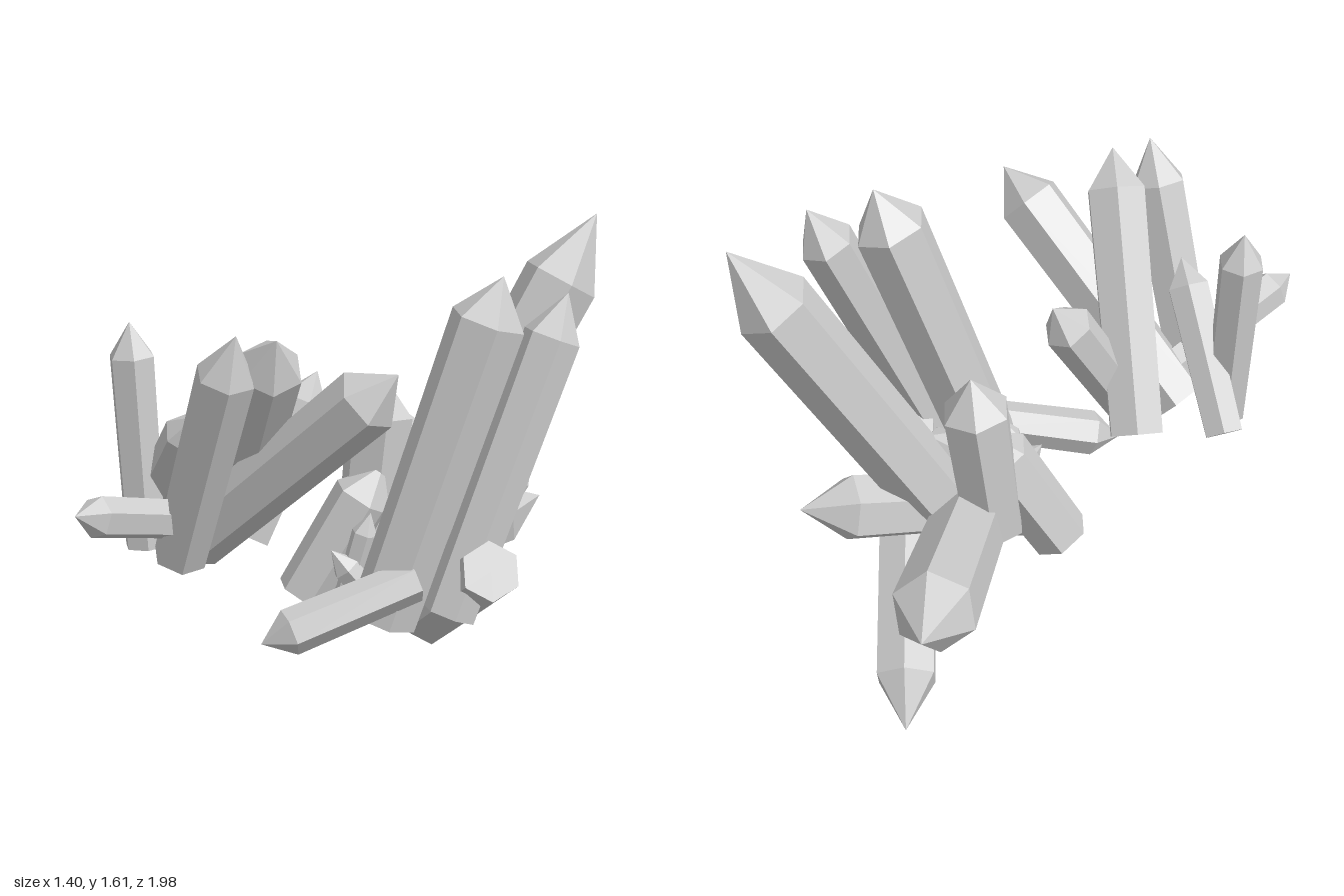
import * as THREE from 'three';

const UP = new THREE.Vector3(0, 1, 0);
const material = new THREE.MeshStandardMaterial({ color: 0xcccccc, flatShading: true });

// Six-sided shaft, slightly narrower at its flat base, ending in a pyramid point
function crystal(name, base, tip, radius, point = 1.6 * radius) {
  const from = new THREE.Vector3(...base);
  const axis = new THREE.Vector3(...tip).sub(from);
  const length = axis.length();
  const profile = [[0, 0], [radius * 0.92, 0], [radius, length - point], [0, length]]
    .map(([r, y]) => new THREE.Vector2(r, y));
  const mesh = new THREE.Mesh(new THREE.LatheGeometry(profile, 6), material);
  mesh.name = name;
  mesh.position.copy(from);
  mesh.quaternion.setFromUnitVectors(UP, axis.normalize());
  return mesh;
}

// Each entry: name, base centre, tip, radius, optional point length
const FRONT = [
  ['uprightCrystal', [-0.17, 0.68, 0.56], [-0.22, 1.415, 0.57], 0.076, 0.11],
  ['tallFrontCrystal', [0.01, 0.69, 0.56], [0.33, 1.49, 0.575], 0.095, 0.15],
  ['crossingCrystal', [-0.15, 0.71, 0.22], [0.38, 1.465, 0.46], 0.106, 0.14],
  ['backLeaningCrystal', [0.02, 0.7, 0.3], [0.02, 1.2, 0.0], 0.085, 0.11],
  ['rightLeaningCrystal', [-0.31, 0.72, 0.46], [0.08, 1.17, 0.54], 0.075, 0.1],
  ['wideLeaningCrystal', [-0.06, 0.7, 0.45], [0.615, 1.36, 0.18], 0.11, 0.14],
  ['forwardCrystal', [0.0, 0.77, 0.38], [0.07, 0.945, 0.995], 0.068, 0.09],
];

const BACK = [
  ['tallestCrystal', [0.05, 0.43, -0.34], [0.29, 1.62, -0.99], 0.13, 0.25],
  ['tallCrystal', [0.28, 0.4, -0.06], [0.47, 1.54, -0.39], 0.124, 0.15],
  ['sideCrystal', [0.49, 0.455, -0.16], [0.57, 1.475, -0.58], 0.095, 0.15],
  ['shortBackCrystal', [0.33, 0.45, -0.25], [0.435, 0.92, -0.57], 0.06, 0.11],
  ['broadCrystal', [0.0, 0.5, -0.33], [-0.695, 0.75, -0.91], 0.138, 0.22],
  ['lowCrystal', [0.64, 0.64, -0.2], [-0.32, 0.015, -0.78], 0.108, 0.18],
  ['lowForwardCrystal', [0.39, 0.56, -0.1], [0.2, 0.405, 0.385], 0.077, 0.1],
  ['innerCrystal', [-0.06, 0.48, -0.28], [-0.05, 1.1, -0.35], 0.115, 0.13],
  ['innerLeaningCrystal', [-0.11, 0.37, -0.05], [0.03, 0.82, -0.28], 0.108, 0.13],
  ['rearCrystal', [0.06, 0.5, -0.28], [0.19, 0.625, -0.86], 0.115, 0.17],
  // small shards at the root of the cluster
  ['shard', [0.055, 0.345, -0.1], [0.12, 0.75, -0.36], 0.083],
  ['shard', [0.1, 0.38, -0.04], [0.15, 0.72, -0.12], 0.045],
  ['shard', [0.2, 0.38, -0.14], [0.09, 0.6, 0.0], 0.05],
  ['shard', [0.25, 0.4, -0.14], [0.11, 0.8, -0.42], 0.065],
];

export function createModel() {
  const model = new THREE.Group();
  model.name = 'crystalClusters';
  for (const [name, list] of [['frontCluster', FRONT], ['backCluster', BACK]]) {
    const cluster = new THREE.Group();
    cluster.name = name;
    for (const entry of list) cluster.add(crystal(...entry));
    model.add(cluster);
  }
  return model;
}
